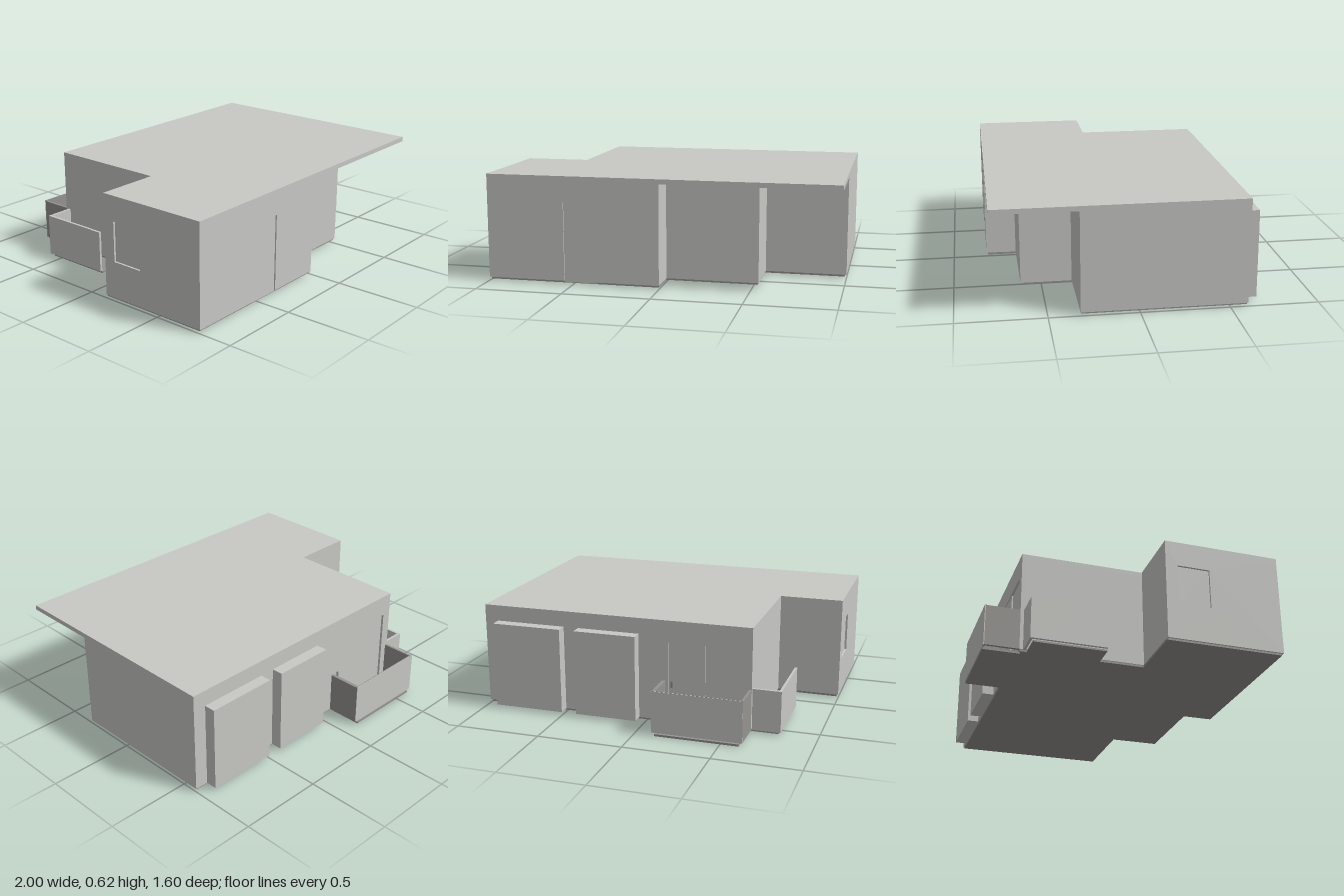
import * as THREE from 'three';

const lightGrey = new THREE.MeshStandardMaterial({ name: 'lightGrey', color: 0xc8c8c5 });
const darkGrey = new THREE.MeshStandardMaterial({ name: 'darkGrey', color: 0x959390 });

const WALL_BASE = 0.02, WALL_TOP = 0.592, WALL_DEPTH = 0.022;

// Box given by its minimum and maximum on each axis
function box(name, material, [x0, x1], [y0, y1], [z0, z1]) {
  const mesh = new THREE.Mesh(new THREE.BoxGeometry(x1 - x0, y1 - y0, z1 - z0), material);
  mesh.position.set((x0 + x1) / 2, (y0 + y1) / 2, (z0 + z1) / 2);
  mesh.name = name;
  return mesh;
}

// Horizontal plate from a plan outline of [x, z] points
function plate(name, material, plan, y0, y1) {
  const shape = new THREE.Shape(plan.map(([x, z]) => new THREE.Vector2(x, -z)));
  const geometry = new THREE.ExtrudeGeometry(shape, { depth: y1 - y0, bevelEnabled: false });
  geometry.rotateX(-Math.PI / 2).translate(0, y0, 0);
  const mesh = new THREE.Mesh(geometry, material);
  mesh.name = name;
  return mesh;
}

// Upright wall between two plan points, with an optional door or window opening.
// Each leaf fills part of the opening: { u: [from, to], recess }
function wall([ax, az], [bx, bz], opening) {
  const group = new THREE.Group();
  group.name = 'wall';
  const length = Math.hypot(bx - ax, bz - az);
  const outline = [[0, WALL_BASE]];
  const holes = [];
  if (opening) {
    const [u0, u1] = opening.u, [y0, y1] = opening.y;
    if (y0 <= WALL_BASE) outline.push([u0, WALL_BASE], [u0, y1], [u1, y1], [u1, WALL_BASE]);
    else holes.push([[u0, y0], [u0, y1], [u1, y1], [u1, y0]]);
  }
  outline.push([length, WALL_BASE], [length, WALL_TOP], [0, WALL_TOP]);
  const points = (list) => list.map(([u, y]) => new THREE.Vector2(u, y));
  const shape = new THREE.Shape(points(outline));
  for (const hole of holes) shape.holes.push(new THREE.Path(points(hole)));
  const geometry = new THREE.ExtrudeGeometry(shape, { depth: WALL_DEPTH, bevelEnabled: false });
  geometry.translate(0, 0, -WALL_DEPTH);
  const panel = new THREE.Mesh(geometry, lightGrey);
  panel.name = 'wallPanel';
  group.add(panel);
  if (opening) {
    for (const leaf of opening.leaves) {
      group.add(box(opening.name, lightGrey, leaf.u, opening.y, [-0.03, -leaf.recess]));
    }
  }
  group.position.set(ax, 0, az);
  group.rotation.y = Math.atan2(-(bz - az), bx - ax);
  return group;
}

export function createModel() {
  const model = new THREE.Group();
  model.name = 'flat';

  // Stepped wall plan, walked with the outside on the right
  const plan = [
    [-1, 0.8], [0, 0.8], [0, 0.62], [0.53, 0.62], [0.53, 0.325],
    [1, 0.325], [1, -0.6], [-0.625, -0.6], [-0.625, 0.12], [-1, 0.12],
  ];
  const openings = {
    0: { name: 'frontDoor', u: [0.45, 0.65], y: [0.012, 0.47], leaves: [{ u: [0.45, 0.65], recess: 0.008 }] },
    6: {
      name: 'balconyDoor', u: [1.14, 1.57], y: [0.012, 0.49],
      leaves: [{ u: [1.14, 1.355], recess: 0.006 }, { u: [1.355, 1.57], recess: 0.014 }],
    },
    9: { name: 'sideWindow', u: [0.07, 0.26], y: [0.235, 0.47], leaves: [{ u: [0.07, 0.26], recess: 0.012 }] },
  };
  plan.forEach((a, i) => model.add(wall(a, plan[(i + 1) % plan.length], openings[i])));

  // Floor, set in slightly from the walls
  const floor = plate('floorSlab', darkGrey, plan, 0.009, 0.021);
  floor.scale.set(0.99, 1, 0.99);
  model.add(floor);

  // Roof reaching over the stepped front
  const roofPlan = [[-1, 0.8], [1, 0.8], [1, -0.6], [-0.625, -0.6], [-0.625, 0.12], [-1, 0.12]];
  model.add(plate('roof', lightGrey, roofPlan, 0.59, 0.618));

  // Two shallow bays on the back
  for (const x of [[0.04, 0.41], [0.5, 0.92]]) {
    model.add(box('backBay', lightGrey, x, [0.02, 0.525], [-0.667, -0.59]));
  }

  // Back balcony: dark floor and ends, light outer panel
  const backBalcony = new THREE.Group();
  backBalcony.name = 'backBalcony';
  backBalcony.add(
    box('balconyFloor', darkGrey, [-0.605, -0.12], [0, 0.012], [-0.8, -0.59]),
    box('balconyEnd', darkGrey, [-0.625, -0.61], [0.02, 0.26], [-0.795, -0.6]),
    box('balconyEnd', darkGrey, [-0.12, -0.1], [0.02, 0.26], [-0.795, -0.6]),
    box('balconyFront', lightGrey, [-0.625, -0.1], [0.02, 0.264], [-0.8, -0.795]),
    box('balconyFrontLining', darkGrey, [-0.625, -0.1], [0.02, 0.265], [-0.797, -0.792]),
  );
  model.add(backBalcony);

  // Side balcony, open towards the front
  const sideBalcony = new THREE.Group();
  sideBalcony.name = 'sideBalcony';
  sideBalcony.add(
    box('balconyFloor', darkGrey, [-0.775, -0.615], [0, 0.01], [-0.56, -0.145]),
    box('balconyFront', lightGrey, [-0.79, -0.775], [0.015, 0.26], [-0.58, -0.145]),
    box('balconyEnd', lightGrey, [-0.775, -0.625], [0.015, 0.26], [-0.58, -0.565]),
  );
  model.add(sideBalcony);

  // Door handle
  model.add(box('doorHandle', darkGrey, [-0.162, -0.152], [0.22, 0.26], [-0.602, -0.592]));

  return model;
}
